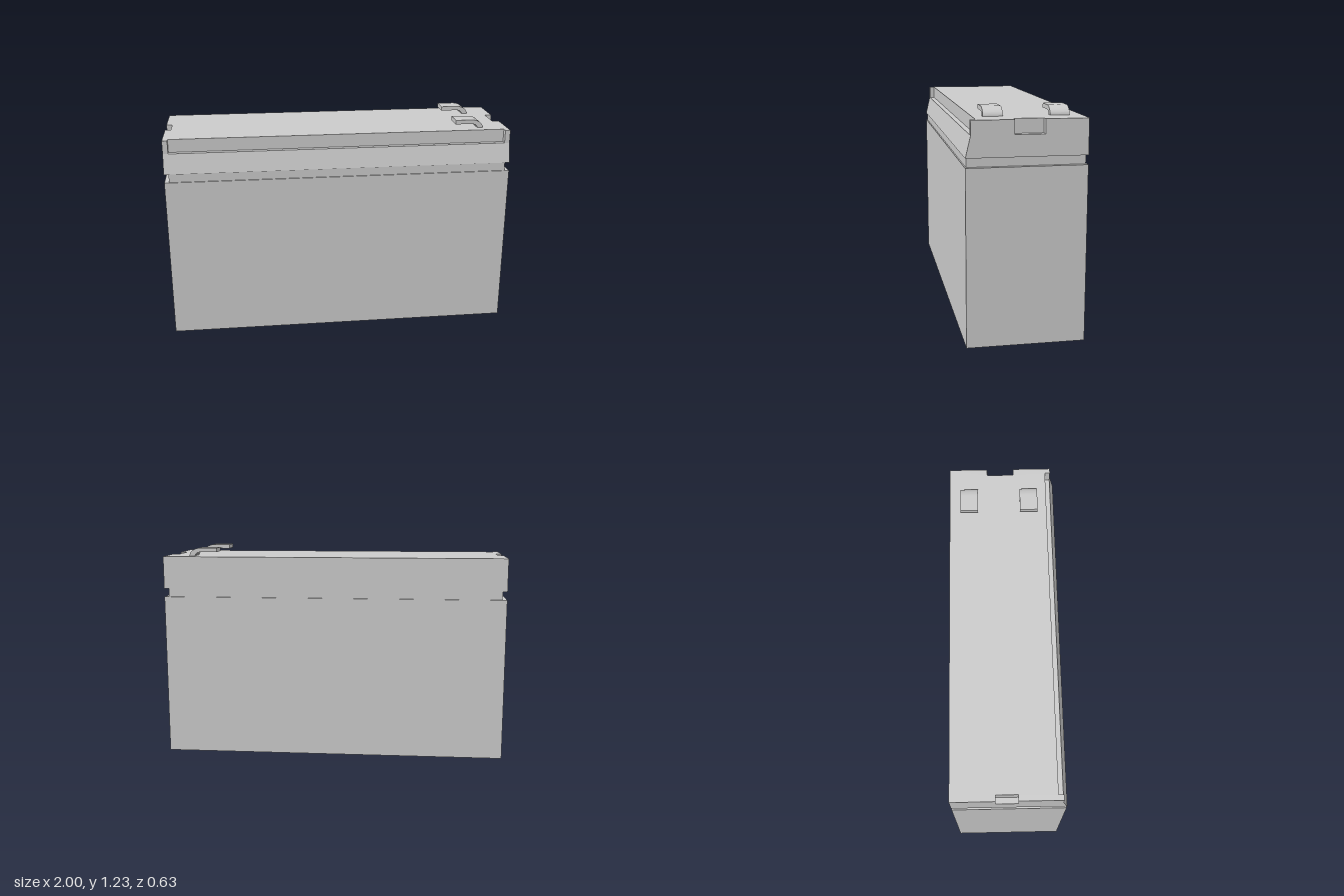
import * as THREE from 'three';

const HALF_DEPTH = 0.314;
const NECK_Y = 0.943, LID_Y = 0.992, LEDGE_Y = 1.105, TOP_Y = 1.18;
const LID_FRONT = 0.287;

const material = new THREE.MeshStandardMaterial({ color: 0xcccccc, flatShading: true });
const smoothMaterial = new THREE.MeshStandardMaterial({ color: 0xcccccc });

function add(parent, name, geometry, mat = material) {
  const mesh = new THREE.Mesh(geometry, mat);
  mesh.name = name;
  parent.add(mesh);
  return mesh;
}

function block(parent, name, width, depth, y0, y1) {
  const mesh = add(parent, name, new THREE.BoxGeometry(width, y1 - y0, depth));
  mesh.position.y = (y0 + y1) / 2;
}

function polygon(points) {
  return new THREE.Shape(points.map(([x, y]) => new THREE.Vector2(x, y)));
}

function extrude(shape, depth, curveSegments = 12) {
  return new THREE.ExtrudeGeometry(shape, { depth, bevelEnabled: false, curveSegments });
}

// Bent tab: flat on top, curving down into the lid
function terminalGeometry(width) {
  const top = 1.227, under = 1.203;
  const shape = new THREE.Shape();
  shape.moveTo(0.695, under);
  shape.lineTo(0.79, under);
  shape.absellipse(0.79, TOP_Y, 0.035, under - TOP_Y, Math.PI / 2, 0, true);
  shape.lineTo(0.858, TOP_Y);
  shape.absellipse(0.79, TOP_Y, 0.068, top - TOP_Y, 0, Math.PI / 2, false);
  shape.lineTo(0.695, top);
  shape.closePath();
  return extrude(shape, width, 10);
}

export function createModel() {
  const model = new THREE.Group();
  model.name = 'battery';

  // Case and the recessed seam below the lid
  block(model, 'case', 2, HALF_DEPTH * 2, 0, NECK_Y);
  block(model, 'seam', 1.948, 0.614, NECK_Y, LID_Y);

  const lid = new THREE.Group();
  lid.name = 'lid';
  model.add(lid);

  // Lower lid: cross-section with a sloping front, run along x
  const lower = extrude(polygon([
    [-HALF_DEPTH, LID_Y], [HALF_DEPTH, LID_Y], [LID_FRONT, LEDGE_Y], [-HALF_DEPTH, LEDGE_Y],
  ]), 2);
  lower.translate(0, 0, -1).rotateY(-Math.PI / 2);
  // Mirror z so the slope faces the front whichever way the run points
  lower.computeBoundingBox();
  const p = lower.attributes.position;
  let frontTop = -1;
  for (let i = 0; i < p.count; i++) {
    if (p.getY(i) > LEDGE_Y - 0.001) frontTop = Math.max(frontTop, p.getZ(i));
  }
  if (frontTop > HALF_DEPTH - 0.001) lower.rotateY(Math.PI);
  add(lid, 'lowerLid', lower);

  // Upper lid: plan outline (x, -z) with the front ledge and two end notches
  const upper = extrude(polygon([
    [-1, -LID_FRONT], [-0.97, -LID_FRONT], [-0.97, -0.257], [0.97, -0.257],
    [0.97, -LID_FRONT], [1, -LID_FRONT],
    [1, -0.065], [0.96, -0.065], [0.96, 0.09], [1, 0.09],
    [1, HALF_DEPTH], [-1, HALF_DEPTH],
    [-1, 0.072], [-0.966, 0.072], [-0.966, -0.048], [-1, -0.048],
  ]), TOP_Y - LEDGE_Y);
  upper.rotateX(-Math.PI / 2).translate(0, LEDGE_Y, 0);
  add(lid, 'upperLid', upper);

  // Pair of terminals
  for (const [name, z] of [['frontTerminal', 0.1], ['backTerminal', -0.25]]) {
    add(model, name, terminalGeometry(0.103), smoothMaterial).position.z = z;
  }

  return model;
}
